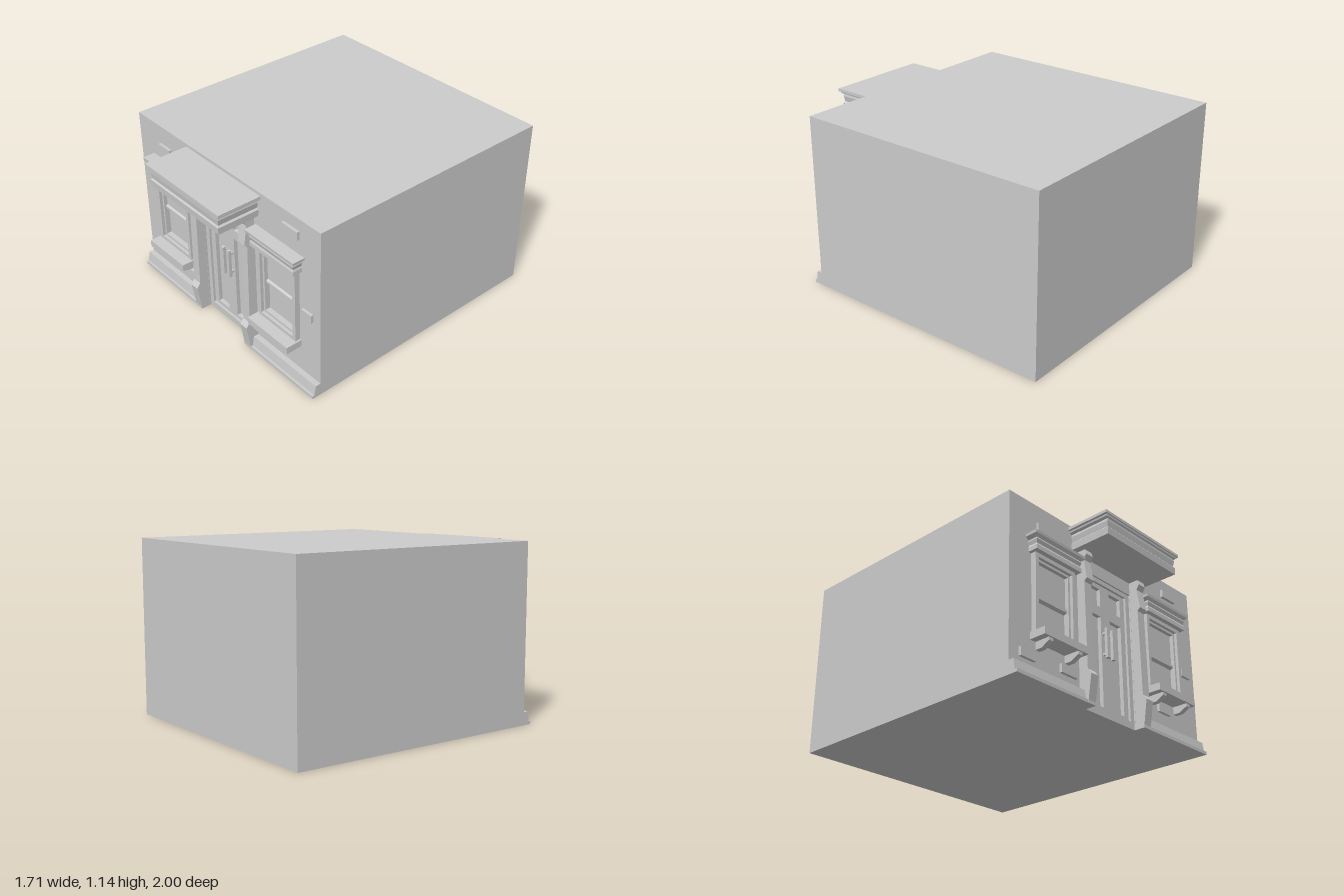
import * as THREE from 'three';

const material = new THREE.MeshStandardMaterial({ color: 0xcccccc, flatShading: true });
const WALL = 0.71; // z of the front wall face

function add(parent, name, geometry) {
  const mesh = new THREE.Mesh(geometry, material);
  mesh.name = name;
  parent.add(mesh);
  return mesh;
}

// Box given by its limits
function box(parent, name, x0, x1, y0, y1, z0, z1) {
  const mesh = add(parent, name, new THREE.BoxGeometry(x1 - x0, y1 - y0, z1 - z0));
  mesh.position.set((x0 + x1) / 2, (y0 + y1) / 2, (z0 + z1) / 2);
  return mesh;
}

function rectPoints([x0, x1, y0, y1]) {
  return [[x0, y0], [x1, y0], [x1, y1], [x0, y1]].map(([x, y]) => new THREE.Vector2(x, y));
}

// Flat plate from z0 to z1 with rectangular holes
function plate(parent, name, outline, holes, z0, z1) {
  const shape = new THREE.Shape(outline);
  for (const h of holes) shape.holes.push(new THREE.Path(rectPoints(h)));
  const geometry = new THREE.ExtrudeGeometry(shape, { depth: z1 - z0, bevelEnabled: false });
  geometry.translate(0, 0, z0);
  return add(parent, name, geometry);
}

// Moulded block: profile rows are [y, half width, front z], backed against the wall
function moulding(parent, name, profile, back = WALL) {
  const rings = profile.map(([y, w, z]) => [[-w, y, z], [w, y, z], [w, y, back], [-w, y, back]]);
  const positions = [];
  const quad = (a, b, c, d) => positions.push(...a, ...b, ...c, ...a, ...c, ...d);
  for (let i = 0; i < rings.length - 1; i++) {
    const lo = rings[i], hi = rings[i + 1];
    for (let k = 0; k < 4; k++) {
      const n = (k + 1) % 4;
      quad(lo[k], lo[n], hi[n], hi[k]);
    }
  }
  const bottom = rings[0], top = rings[rings.length - 1];
  quad(bottom[3], bottom[2], bottom[1], bottom[0]);
  quad(top[0], top[1], top[2], top[3]);
  const geometry = new THREE.BufferGeometry();
  geometry.setAttribute('position', new THREE.Float32BufferAttribute(positions, 3));
  geometry.computeVertexNormals();
  return add(parent, name, geometry);
}

// Sash window centred on local x = 0
function createWindow() {
  const g = new THREE.Group();
  plate(g, 'windowCasing', rectPoints([-0.168, 0.168, 0.3, 0.81]), [[-0.143, 0.143, 0.33, 0.78]], WALL - 0.01, 0.745);
  plate(g, 'windowInnerFrame', rectPoints([-0.143, 0.143, 0.33, 0.78]), [[-0.128, 0.128, 0.345, 0.765]], 0.66, 0.725);
  box(g, 'upperGlass', -0.13, 0.13, 0.55, 0.77, 0.66, 0.7);
  box(g, 'lowerGlass', -0.13, 0.13, 0.34, 0.55, 0.66, 0.69);
  moulding(g, 'meetingRail', [[0.53, 0.128, 0.69], [0.54, 0.128, 0.712], [0.556, 0.128, 0.712], [0.565, 0.128, 0.7]], 0.66);
  // Lintel
  moulding(g, 'windowLintel', [
    [0.805, 0.19, 0.775], [0.832, 0.19, 0.775], [0.845, 0.185, 0.77], [0.868, 0.192, 0.777],
    [0.878, 0.19, 0.775], [0.895, 0.21, 0.79], [0.912, 0.212, 0.792]
  ]);
  // Sill and its brackets
  box(g, 'windowSill', -0.18, 0.18, 0.262, 0.308, WALL, 0.82);
  for (const s of [-1, 1]) {
    moulding(g, 'sillBracket', [[0.214, 0.017, 0.755], [0.243, 0.017, 0.81], [0.264, 0.017, 0.81]]).position.x = s * 0.12;
  }
  return g;
}

function createDoor() {
  const g = new THREE.Group();
  plate(g, 'doorFrame', rectPoints([-0.22, 0.22, 0, 0.895]), [[-0.187, 0.187, 0.045, 0.867]], 0.66, 0.7);
  const panels = [];
  for (const s of [-1, 1]) {
    for (const [y0, y1] of [[0.07, 0.655], [0.72, 0.84]]) {
      panels.push(s < 0 ? [-0.147, -0.043, y0, y1] : [0.043, 0.147, y0, y1]);
    }
  }
  plate(g, 'doorLeaf', rectPoints([-0.187, 0.187, 0.045, 0.867]), panels, 0.66, 0.685);
  // Pull handles on short posts
  for (const s of [-1, 1]) {
    const x = s * 0.026;
    box(g, 'doorHandle', x - 0.011, x + 0.011, 0.38, 0.575, 0.705, 0.725);
    for (const y of [0.41, 0.545]) box(g, 'handlePost', x - 0.007, x + 0.007, y - 0.008, y + 0.008, 0.68, 0.71);
  }
  return g;
}

export function createModel() {
  const model = new THREE.Group();
  model.name = 'buildingEntrance';

  // Building block, with a front wall cut open for door and windows
  box(model, 'buildingBody', -0.855, 0.855, 0, 1.145, -1, 0.66);
  const outline = [
    [-0.855, 0], [-0.22, 0], [-0.22, 0.895], [0.22, 0.895], [0.22, 0],
    [0.855, 0], [0.855, 1.145], [-0.855, 1.145]
  ].map(([x, y]) => new THREE.Vector2(x, y));
  plate(model, 'frontWall', outline, [[-0.653, -0.367, 0.33, 0.78], [0.367, 0.653, 0.33, 0.78]], 0.66, WALL);

  const door = createDoor();
  door.name = 'door';
  model.add(door);

  for (const s of [-1, 1]) {
    const side = s < 0 ? 'right' : 'left';
    const win = createWindow();
    win.name = side + 'Window';
    win.position.x = s * 0.51;
    model.add(win);

    // Pilaster beside the door
    moulding(model, side + 'Pilaster', [
      [0, 0.031, 0.772], [0.02, 0.031, 0.772], [0.175, 0.031, 0.797], [0.208, 0.031, 0.772],
      [0.768, 0.031, 0.765], [0.787, 0.031, 0.785], [0.915, 0.031, 0.765],
      [0.947, 0.031, 0.785], [0.98, 0.031, 0.775]
    ]).position.x = s * 0.252;

    // Skirting along the foot of the wall
    moulding(model, side + 'Skirting', [
      [0, 0.2865, 0.77], [0.02, 0.2865, 0.77], [0.0201, 0.2865, 0.755], [0.085, 0.2865, 0.745]
    ]).position.x = s * 0.5685;
  }

  // Hood over the door
  moulding(model, 'doorHood', [
    [0.98, 0.325, 0.985], [1.024, 0.328, 0.988], [1.034, 0.318, 0.98], [1.07, 0.325, 0.985],
    [1.085, 0.322, 0.985], [1.093, 0.337, 0.993], [1.104, 0.34, 0.994], [1.107, 0.352, 1], [1.125, 0.352, 1]
  ]);

  // Raised bricks scattered on the wall: centre x, centre y, width
  const bricks = [
    [-0.575, 0.997, 0.115], [0.617, 1.04, 0.132], [0.752, 0.532, 0.085],
    [-0.72, 0.161, 0.117], [-0.385, 0.172, 0.132], [0.502, 0.21, 0.115]
  ];
  for (const [x, y, w] of bricks) box(model, 'raisedBrick', x - w / 2, x + w / 2, y - 0.027, y + 0.027, WALL, 0.728);

  return model;
}
